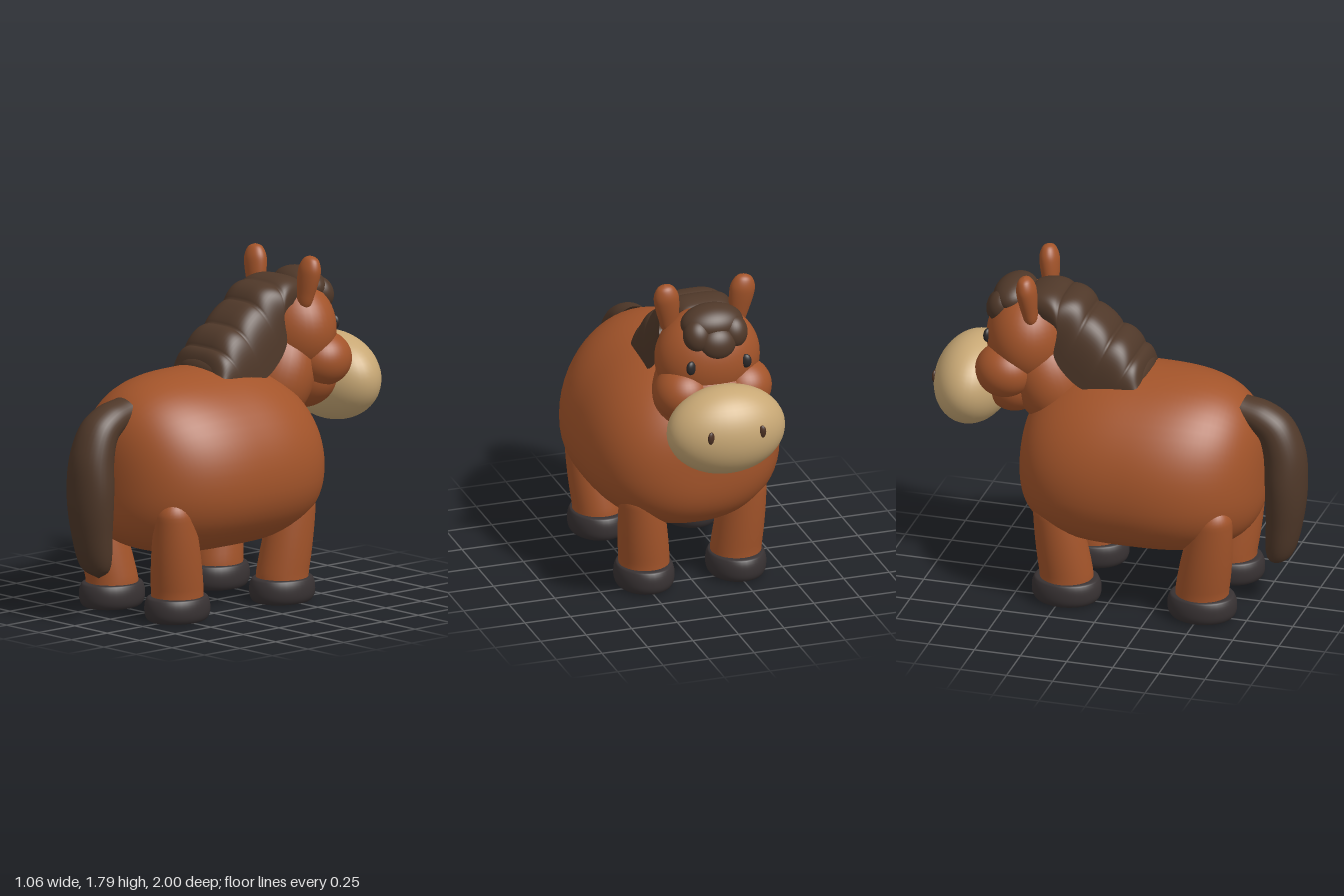
import * as THREE from 'three';
import { mergeVertices } from 'three/addons/utils/BufferGeometryUtils.js';

const mat = (name, color) => {
  const m = new THREE.MeshStandardMaterial({ color });
  m.name = name;
  return m;
};

// smooth surface from a rule f(u, v) -> [x, y, z]
function surface(nu, nv, f) {
  const pos = [], idx = [];
  for (let i = 0; i <= nu; i++)
    for (let j = 0; j <= nv; j++) pos.push(...f(i / nu, j / nv));
  for (let i = 0; i < nu; i++)
    for (let j = 0; j < nv; j++) {
      const a = i * (nv + 1) + j, b = a + nv + 1;
      idx.push(a, b, a + 1, b, b + 1, a + 1);
    }
  let g = new THREE.BufferGeometry();
  g.setAttribute('position', new THREE.Float32BufferAttribute(pos, 3));
  g.setIndex(idx);
  g = mergeVertices(g, 1e-4);
  g.computeVertexNormals();
  return g;
}

// power that keeps the sign
const spow = (v, p) => Math.sign(v) * Math.pow(Math.abs(v), p);
const curve = pts => new THREE.CatmullRomCurve3(pts.map(p => new THREE.Vector3(...p)));
const lathe = pts => new THREE.LatheGeometry(
  new THREE.SplineCurve(pts.map(p => new THREE.Vector2(...p))).getPoints(28).map(p => p.setX(Math.max(0, p.x))), 36);

export function createModel() {
  const model = new THREE.Group();
  model.name = 'toyHorse';
  const coat = mat('coatBrown', 0xa3542a);
  const hair = mat('hairDarkBrown', 0x4f3829);
  const tan = mat('muzzleTan', 0xc8a875);
  const hoofMat = mat('hoofCharcoal', 0x383233);
  const eyeMat = mat('eyeBlack', 0x2b2829);
  const nostrilMat = mat('nostrilBrown', 0x4a3022);
  hair.side = THREE.DoubleSide;

  const add = (name, geo, material) => {
    const m = new THREE.Mesh(geo, material);
    m.name = name;
    model.add(m);
    return m;
  };
  const ball = new THREE.SphereGeometry(1, 40, 28);
  const ellipsoid = (name, material, p, r, rot = [0, 0, 0]) => {
    const m = add(name, ball, material);
    m.position.set(...p);
    m.scale.set(...r);
    m.rotation.set(...rot);
  };

  // barrel body: egg-shaped sections, sloping down at the chest
  add('body', surface(56, 56, (u, v) => {
    const t = Math.cos(Math.PI * u), a = v * Math.PI * 2;
    const end = n => Math.pow(Math.max(0, 1 - Math.pow(Math.abs(t), n)), 1 / n);
    const top = 0.54 - (t < 0 ? 0.1 * t * t : 0);
    const s = Math.sin(a), c = Math.cos(a);
    const w = 0.532 * end(t > 0 ? 2.35 : 2.8);
    const y = s > 0 ? top * s : 0.41 * spow(s, 0.9);
    return [w * (s > 0 ? c : spow(c, 0.9)), 0.72 + y * end(3.2), 0.13 + 0.64 * t];
  }), coat);

  // legs: domed columns that taper and lean outward, on rounded hooves
  const hoofGeo = lathe([[0, 0.002], [0.08, 0.002], [0.135, 0.006], [0.157, 0.035], [0.161, 0.08],
    [0.153, 0.118], [0.135, 0.134], [0.06, 0.135], [0, 0.135]]);
  const legKinds = [
    { name: 'hind', z: 0.51, top: 0.665, outX: 0.068, outZ: 0.085, taper: 0.05 },
    { name: 'fore', z: -0.225, top: 0.6, outX: 0.04, outZ: -0.06, taper: 0.03 },
  ];
  for (const side of [1, -1]) {
    for (const { name, z, top, outX, outZ, taper } of legKinds) {
      add(name + 'Leg', surface(24, 32, (u, v) => {
        const k = Math.max(0, (u - 0.6) / 0.4) * Math.PI / 2;
        const y = u < 0.6 ? 0.08 + (top - 0.18) * u / 0.6 : top - 0.1 + 0.1 * Math.sin(k);
        const lean = Math.max(0, (y - 0.15) / (top - 0.15));
        const r = (0.133 - taper * lean * lean) * Math.cos(k), a = v * Math.PI * 2;
        return [side * (0.252 + outX * lean) + r * Math.cos(a), y, z + outZ * lean + 1.06 * r * Math.sin(a)];
      }), coat);
      const hoof = add(name + 'Hoof', hoofGeo, hoofMat);
      hoof.position.set(side * 0.252, 0, z);
      hoof.scale.set(0.97, 1, 1.14);
    }
  }

  // neck, head and muzzle
  ellipsoid('neck', coat, [0, 1.16, -0.38], [0.25, 0.3, 0.21], [-0.35, 0, 0]);
  ellipsoid('head', coat, [0, 1.38, -0.5], [0.28, 0.27, 0.22]);
  ellipsoid('jaw', coat, [0, 1.13, -0.565], [0.24, 0.185, 0.17]);
  ellipsoid('snout', coat, [0, 1.22, -0.6], [0.22, 0.14, 0.135]);
  ellipsoid('muzzle', tan, [0, 1.085, -0.798], [0.318, 0.236, 0.202], [0.1, 0, 0]);
  const earGeo = lathe([[0, -0.16], [0.04, -0.12], [0.055, -0.05], [0.066, 0.03], [0.064, 0.085],
    [0.04, 0.13], [0, 0.145]]);
  for (const s of [1, -1]) {
    ellipsoid('cheek', coat, [s * 0.165, 1.225, -0.585], [0.152, 0.145, 0.157]);
    const ear = add('ear', earGeo, coat);
    ear.position.set(s * 0.2, 1.648, -0.45);
    ear.scale.set(1, 1, 0.78);
    ear.rotation.set(-0.1, 0, -s * 0.14);
    ellipsoid('eye', eyeMat, [s * 0.15, 1.4, -0.684], [0.029, 0.038, 0.019], [0, s * 0.35, 0]);
    ellipsoid('nostril', nostrilMat, [s * 0.14, 1.12, -0.974], [0.02, 0.034, 0.012], [0, s * 0.28, 0]);
  }

  // mane: arched sections over the neck with rounded locks
  const crest = curve([[0.21, 1.22, 0.155], [0.212, 1.33, 0.11], [0.21, 1.42, 0.02], [0.205, 1.5, -0.09],
    [0.195, 1.6, -0.2], [0.19, 1.65, -0.33], [0.16, 1.65, -0.48]]);
  const root = curve([[0, 1.18, 0.13], [0, 1.17, 0.02], [0, 1.17, -0.1], [0, 1.21, -0.2],
    [0, 1.34, -0.31], [0, 1.5, -0.3], [0, 1.55, -0.4]]);
  add('mane', surface(90, 32, (u, v) => {
    const o = crest.getPoint(u), i = root.getPoint(u), a = v * Math.PI;
    const puff = 0.035 * Math.pow(Math.abs(Math.sin(u * Math.PI * 5)), 0.7);
    const up = spow(Math.sin(a), 0.65) * (1 + puff / Math.max(0.12, o.distanceTo(i)));
    const x = o.x * spow(Math.cos(a), 0.6);
    return [x, i.y + (o.y - i.y) * up, i.z + (o.z - i.z) * up];
  }), hair);
  ellipsoid('maneEnd', hair, [0, 1.235, 0.095], [0.19, 0.08, 0.07]);

  // forelock: soft curls on the brow
  ellipsoid('forelock', hair, [0, 1.595, -0.575], [0.168, 0.097, 0.115], [-0.3, 0, 0]);
  ellipsoid('forelockCurl', hair, [0, 1.515, -0.662], [0.1, 0.09, 0.066], [0.3, 0, 0]);
  for (const s of [1, -1])
    ellipsoid('forelockCurl', hair, [s * 0.098, 1.555, -0.63], [0.076, 0.088, 0.068], [0.3, 0, 0]);

  // tail: from the tip up to the root
  const outer = curve([[0.002, 0.23, 0.832], [0.085, 0.29, 0.92], [0.125, 0.5, 0.98], [0.14, 0.7, 1],
    [0.125, 0.9, 0.985], [0.11, 1.06, 0.91], [0.1, 1.135, 0.8], [0.09, 1.165, 0.67]]);
  const inner = curve([[0, 0.23, 0.83], [0, 0.28, 0.79], [0, 0.5, 0.785], [0, 0.7, 0.78],
    [0, 0.87, 0.77], [0, 0.96, 0.74], [0, 1.0, 0.68], [0, 1.02, 0.62]]);
  add('tail', surface(48, 32, (u, v) => {
    const o = outer.getPoint(u), i = inner.getPoint(u), a = v * Math.PI * 2;
    const k = 0.5 + 0.5 * Math.sin(a);
    return [o.x * Math.cos(a), i.y + (o.y - i.y) * k, i.z + (o.z - i.z) * k];
  }), hair);

  return model;
}
